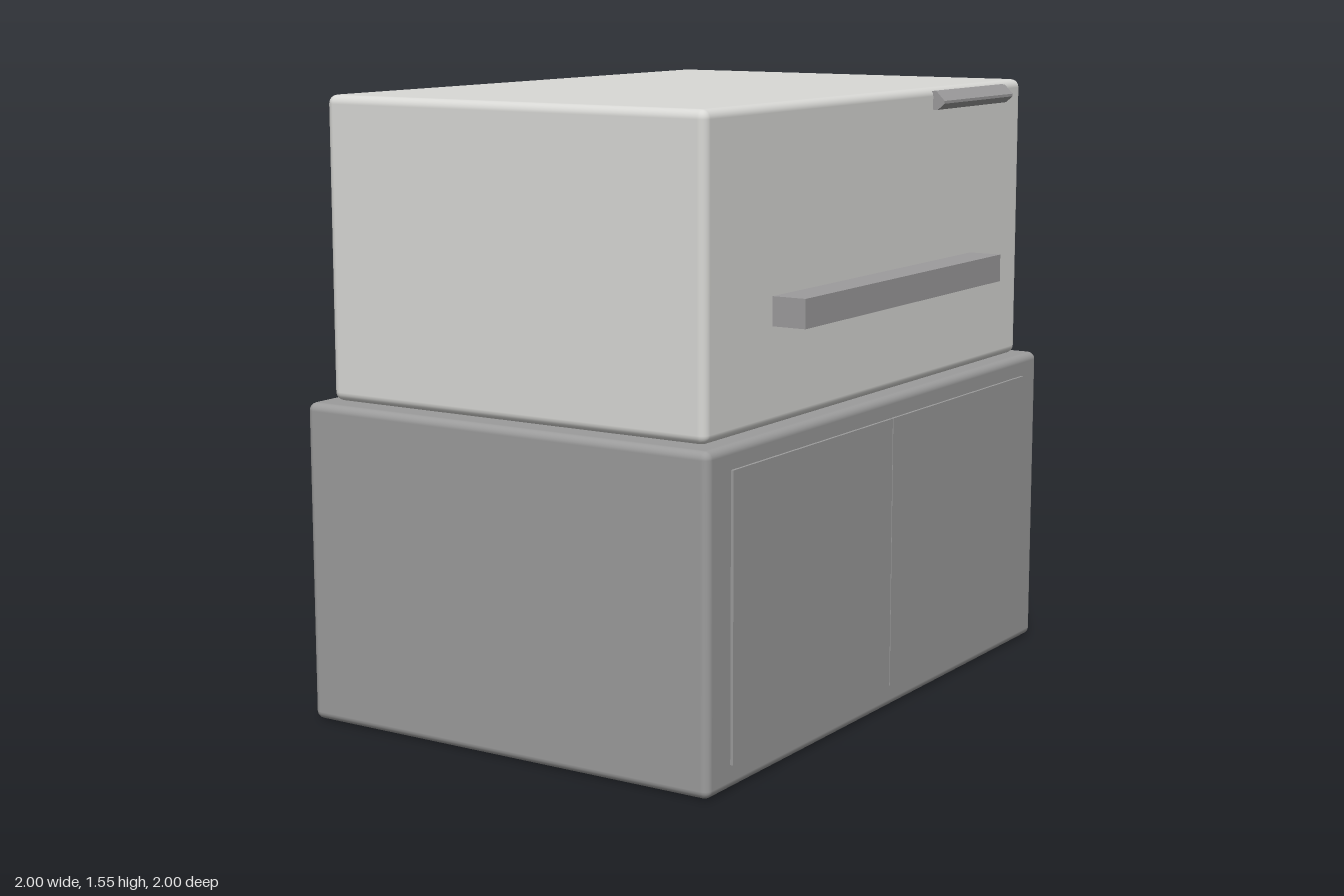
import * as THREE from 'three';
import { RoundedBoxGeometry } from 'three/addons/geometries/RoundedBoxGeometry.js';

export function createModel() {
  const paint = (name, color) => {
    const m = new THREE.MeshStandardMaterial({ color });
    m.name = name;
    return m;
  };
  const lightGrey = paint('lightGrey', 0xd9d9d6);
  const midGrey = paint('midGrey', 0x9c9c9c);
  const handleGrey = paint('handleGrey', 0x9d9c9d);

  const model = new THREE.Group();
  model.name = 'cabinetUnit';
  // The whole unit stands turned by an eighth of a circle
  const unit = new THREE.Group();
  unit.name = 'turnedUnit';
  unit.rotation.y = Math.PI / 4;
  model.add(unit);

  const add = (name, geometry, material, x, y, z) => {
    const mesh = new THREE.Mesh(geometry, material);
    mesh.name = name;
    mesh.position.set(x, y, z);
    unit.add(mesh);
    return mesh;
  };

  // Lower cabinet and upper body, both with softly rounded edges
  add('baseCabinet', new RoundedBoxGeometry(1.692, 0.8, 1.16, 3, 0.02), midGrey, 0, 0.4, 0);
  add('upperBody', new RoundedBoxGeometry(1.589, 0.745, 1.079, 3, 0.022), lightGrey, 0, 1.1735, 0);

  // Pair of thin doors on the cabinet front
  for (const side of [-1, 1]) {
    add(side < 0 ? 'rightDoor' : 'leftDoor',
      new THREE.BoxGeometry(0.748, 0.685, 0.018), midGrey, side * 0.3755, 0.4025, 0.578);
  }

  // Long bar handle
  add('barHandle', new THREE.BoxGeometry(1.01, 0.07, 0.1), handleGrey, 0, 1.07, 0.577);

  // Small bevelled grip near the top corner, extruded along the front
  const section = new THREE.Shape([
    [0.52, 1.537], [0.52, 1.49], [0.553, 1.49], [0.572, 1.506], [0.572, 1.513], [0.548, 1.537],
  ].map(([z, y]) => new THREE.Vector2(-z, y)));
  const grip = new THREE.ExtrudeGeometry(section, { depth: 0.394, bevelEnabled: false });
  grip.rotateY(Math.PI / 2); // section -z becomes +z, depth runs along +x
  add('topGrip', grip, handleGrey, 0.28, 0, 0);

  return model;
}
